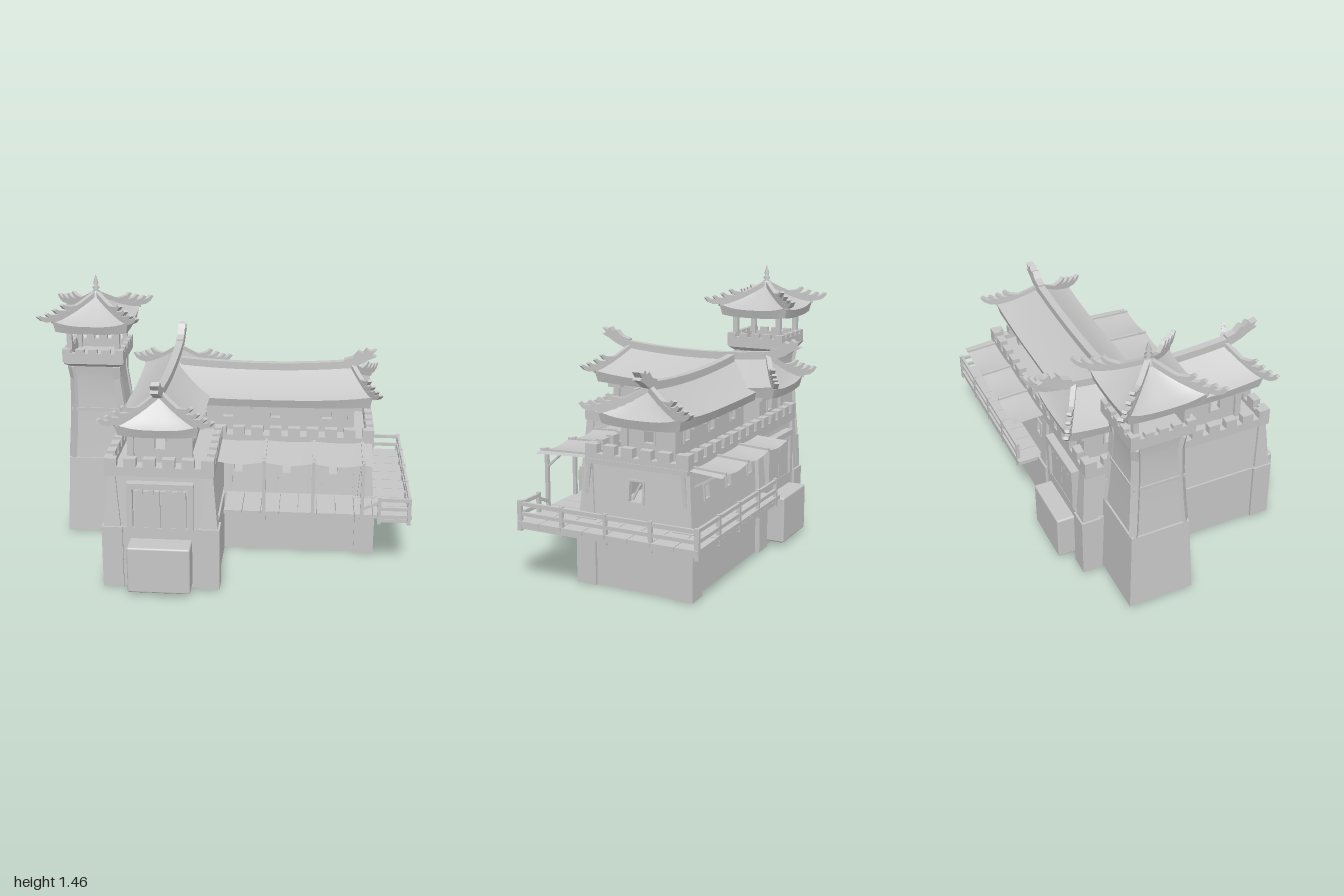
import * as THREE from 'three';
import { toCreasedNormals } from 'three/addons/utils/BufferGeometryUtils.js';
import { RoundedBoxGeometry } from 'three/addons/geometries/RoundedBoxGeometry.js';

const V = (x, y, z) => new THREE.Vector3(x, y, z);
const P2 = list => list.map(q => new THREE.Vector2(q[0], q[1]));
const grey = new THREE.MeshStandardMaterial({ color: 0xc6c6c6, side: THREE.DoubleSide });
grey.name = 'plainGrey';
const put = (p, o, name, x = 0, y = 0, z = 0) => {
  o.name = name;
  o.position.set(x, y, z);
  p.add(o);
  return o;
};
const add = (p, name, geo, x, y, z) => put(p, new THREE.Mesh(geo, grey), name, x, y, z);
const group = (p, name, x, y, z) => put(p, new THREE.Group(), name, x, y, z);
// box given by its limits; the top can be drawn in on all sides
const block = (p, name, x0, x1, y0, y1, z0, z1, inset = 0) => {
  const geo = new THREE.BoxGeometry(x1 - x0, y1 - y0, z1 - z0).toNonIndexed(), a = geo.attributes.position;
  for (let i = 0; i < a.count; i++) if (a.getY(i) > 0) {
    a.setX(i, a.getX(i) - inset * Math.sign(a.getX(i)));
    a.setZ(i, a.getZ(i) - inset * Math.sign(a.getZ(i)));
  }
  geo.computeVertexNormals();
  add(p, name, geo, (x0 + x1) / 2, (y0 + y1) / 2, (z0 + z1) / 2);
};
// square pillar around a centre, and straight bar between two points
const pillar = (p, name, x, z, r, y0, y1, inset) => block(p, name, x - r, x + r, y0, y1, z - r, z + r, inset);
const bar = (p, name, a, b, w, h = w) => {
  const c = a.clone().add(b).multiplyScalar(0.5);
  add(p, name, new THREE.BoxGeometry(w, h, a.distanceTo(b)), c.x, c.y, c.z).lookAt(b.clone().applyMatrix4(p.matrixWorld));
};
const slab = (points, depth) => new THREE.ExtrudeGeometry(new THREE.Shape(P2(points)), { depth, bevelEnabled: false }).translate(0, 0, -depth / 2);
const shell = pos => toCreasedNormals(new THREE.BufferGeometry().setAttribute('position', new THREE.Float32BufferAttribute(pos, 3)), 0.5);
// drops the faces lying on the ground, leaving a hollow base
const openBottom = source => {
  const a = (source.index ? source.toNonIndexed() : source).attributes.position, pos = [];
  for (let i = 0; i < a.count; i += 3) if (Math.max(a.getY(i), a.getY(i + 1), a.getY(i + 2)) > 0.001) pos.push(...a.array.slice(i * 3, i * 3 + 9));
  return shell(pos);
};
// wall with open framed windows [x, y, w, h]; yaw turns it, tilt leans it inward
const panel = (p, name, w, h, holes, x, y, z, yaw, tilt = 0) => {
  const rect = (cx, cy, rw, rh) => P2([[-1, -1], [1, -1], [1, 1], [-1, 1]].map(([i, j]) => [cx + i * rw / 2, cy + j * rh / 2]));
  const s = new THREE.Shape(rect(0, h / 2, w, h));
  for (const q of holes) s.holes.push(new THREE.Path(rect(...q)));
  const m = add(p, name, new THREE.ExtrudeGeometry(s, { depth: 0.02, bevelEnabled: false }).translate(0, 0, -0.02), x, y, z);
  m.rotation.set(-tilt, yaw, 0, 'YXZ');
  for (const [hx, hy, hw, hh] of holes) for (const k of [-1, 1]) {
    add(m, 'windowFrame', new THREE.BoxGeometry(0.01, hh + 0.02, 0.012), hx + k * (hw / 2 + 0.005), hy, 0.002);
    add(m, 'windowFrame', new THREE.BoxGeometry(hw, 0.01, 0.012), hx, hy + k * (hh / 2 + 0.005), 0.002);
  }
};
// low wall with merlons along a closed outline of [x, z]
const parapet = (p, pts, y, lowH, topH, t, pitch) => pts.forEach((a, i) => {
  const b = pts[(i + 1) % pts.length], len = Math.hypot(b[0] - a[0], b[1] - a[1]), n = Math.round(len / pitch);
  const on = (d, h) => V(a[0] + (b[0] - a[0]) * d / len, y + h, a[1] + (b[1] - a[1]) * d / len), w = len / n * 0.62;
  const run = (name, d0, d1, h0, h1) => bar(p, name, on(d0, (h0 + h1) / 2), on(d1, (h0 + h1) / 2), t, h1 - h0);
  run('parapet', -t / 2, len + t / 2, 0, lowH);
  for (let k = 0; k <= n; k++) {
    const d = -t / 2 + (len + t - w) * k / n;
    run('merlon', d, d + w, lowH, lowH + topH);
  }
});
// hipped roof with sagging slopes: L, W half sizes at the eave, R half ridge
const horn = slab([[-0.06, -0.014], [0.03, -0.014], [0.06, 0], [0.08, 0.022], [0.066, 0.03], [0.045, 0.016], [0.02, 0.012], [-0.06, 0.008]], 0.024);
const roof = (p, name, cx, cz, yaw, L, W, R, eave, ridge, sag, hipEnds) => {
  const g = group(p, name, cx, 0, cz), N = 12, T = 8, rim = [], pos = [], rings = [];
  g.rotation.y = yaw;
  g.updateMatrixWorld();
  const lift = (u, v) => 0.03 * Math.abs(u * v) ** 3;
  const at = (u, v, t) => V(u * (R + (L - R) * t),
    eave + (ridge - eave) * Math.pow(Math.max(0, 1 - t), 1.3) + sag * u * u * (1 - t) + lift(u, v) * t, v * W * t);
  for (const [a, b, c, d] of [[-1, -1, 1, -1], [1, -1, 1, 1], [1, 1, -1, 1], [-1, 1, -1, -1]]) {
    for (let i = 0; i < N; i++) rim.push([a + (c - a) * i / N, b + (d - b) * i / N]);
  }
  for (let k = 0; k <= T; k++) rings.push(rim.map(([u, v]) => at(u, v, k / T)));
  // fascia, then the underside
  rings.push(rim.map(([u, v]) => V(u * (L - 0.014), eave - 0.045 + lift(u, v) * 0.4, v * (W - 0.014))));
  rings.push(rim.map(([u, v]) => V(u * L * 0.6, eave - 0.035, v * W * 0.5)), rim.map(() => V(0, eave - 0.035, 0)));
  for (let k = 0; k + 1 < rings.length; k++) for (let i = 0; i < rim.length; i++) {
    const j = (i + 1) % rim.length, [a, b, c, d] = [rings[k][i], rings[k][j], rings[k + 1][j], rings[k + 1][i]];
    for (const q of [a, c, b, a, d, c]) pos.push(q.x, q.y, q.z);
  }
  add(g, 'roofShell', shell(pos));
  // hip ribs with a row of upturned horns
  for (const u of hipEnds) for (const v of [-1, 1]) {
    for (let k = 0; k < 6; k++) bar(g, 'hipRib', at(u, v, k / 6), at(u, v, (k + 1) / 6), 0.026, 0.03);
    for (let k = 0; k < 4; k++) {
      const q = at(u, v, 0.52 + k * 0.17);
      add(g, 'hipHorn', horn, q.x, q.y + 0.012, q.z).rotation.y = Math.atan2(-v * W, u * (L - R));
    }
  }
};
// ridge beam ending in beast-like finials, offsets from the ridge end
const beast = [[0, 0.03], [0.05, 0.045], [0.08, 0.078], [0.105, 0.068], [0.12, 0.092], [0.14, 0.078], [0.175, 0.088], [0.15, 0.06], [0.175, 0.05], [0.13, 0.03], [0.09, 0.005], [0.03, -0.02]];
const ridgeBeam = (p, name, e0, e1, y, sag, bothEnds) => {
  const yAt = s => y + sag * ((2 * s - e0 - e1) / (e1 - e0)) ** 2;
  const line = d => Array.from({ length: 11 }, (_, i) => e0 + (e1 - e0) * i / 10).map(s => [s, yAt(s) + d]);
  const pts = [...line(0.02), ...beast.map(([s, d]) => [e1 + s, yAt(e1) + d]), ...line(-0.02).reverse()];
  if (bothEnds) pts.push(...beast.map(([s, d]) => [e0 - s, yAt(e0) + d]).reverse());
  return add(p, name, slab(pts, 0.04));
};

export function createModel() {
  const root = new THREE.Group();
  root.name = 'courtyardFort';
  // lower storey: hollow T-shaped base, sloping walls, corner buttresses
  const low = group(root, 'lowerStorey');
  const plan = [[-0.575, -0.555], [-0.005, -0.555], [-0.005, -0.07], [0.795, -0.07], [0.795, 0.515], [-0.005, 0.515], [-0.005, 0.525], [-0.575, 0.525]];
  add(low, 'base', openBottom(slab(plan, 0.33).rotateX(-Math.PI / 2).translate(0, 0.165, 0)));
  block(low, 'crossWingWall', -0.565, -0.015, 0.33, 0.62, -0.515, 0.545, 0.025);
  const openings = k => [-0.32, -0.06, 0.19].map(x => [k * x, 0.15, 0.045, 0.065]);
  panel(low, 'eastFrontWall', 0.8, 0.29, openings(1), 0.39, 0.33, 0.062, 0, 0.09);
  panel(low, 'eastBackWall', 0.8, 0.29, openings(-1), 0.39, 0.33, -0.51, Math.PI, 0.09);
  panel(low, 'eastEndWall', 0.55, 0.29, [[0, 0.16, 0.07, 0.1]], 0.79, 0.33, -0.225, Math.PI / 2, 0.09);
  bar(low, 'windowLattice', V(0.775, 0.45, -0.205), V(0.77, 0.53, -0.245), 0.01);
  block(low, 'crossWalkway', -0.57, -0.02, 0.605, 0.63, -0.505, 0.545);
  block(low, 'eastWalkway', -0.02, 0.795, 0.605, 0.63, -0.505, 0.045);
  for (const [x, z] of [[-0.537, 0.517], [-0.043, 0.517], [-0.537, -0.487], [-0.043, -0.487], [0.757, 0.037], [0.757, -0.487]]) {
    add(low, 'cornerPlinth', openBottom(new THREE.BoxGeometry(0.106, 0.335, 0.106).translate(0, 0.1675, 0)), x, 0, z);
    pillar(low, 'cornerButtress', x, z, 0.043, 0.335, 0.61, 0.024);
  }
  for (const x of [0.115, 0.365, 0.61]) {
    for (const s of [-1, 1]) bar(low, 'doorJamb', V(x + s * 0.085, 0.33, 0.06), V(x + s * 0.085, 0.55, 0.042), 0.012);
    block(low, 'doorLintel', x - 0.09, x + 0.09, 0.535, 0.55, 0.035, 0.055);
  }
  parapet(low, [[-0.55, 0.525], [-0.04, 0.525], [-0.04, 0.025], [0.77, 0.025], [0.77, -0.485], [-0.55, -0.485]], 0.615, 0.04, 0.045, 0.042, 0.1);

  // gates with porches at both ends of the cross wing
  for (const [z, s, out] of [[0.545, 1, 0.125], [-0.515, -1, 0.105]]) {
    const gate = group(root, 'gate', -0.29, 0, z);
    gate.scale.z = s;
    for (const k of [-1, 1]) {
      block(gate, 'gatePost', k * 0.155 - 0.015, k * 0.155 + 0.015, 0.33, 0.57, -0.03, 0.02);
      block(gate, 'gateLeaf', k * 0.066 - 0.064, k * 0.066 + 0.064, 0.29, 0.53, -0.03, 0.008);
      for (const x of [0.045, 0.1]) pillar(gate, 'gateStud', k * x, 0.006, 0.012, 0.515, 0.54);
    }
    block(gate, 'gateLintel', -0.17, 0.17, 0.545, 0.575, -0.03, 0.022);
    add(gate, 'porch', new RoundedBoxGeometry(0.32, 0.25, out + 0.02, 2, 0.01), 0, 0.145, out / 2 - 0.01);
  }

  // upper halls and their roofs
  const up = group(root, 'upperHalls'), H = 0.21;
  const wins = (...xs) => xs.map(x => [x, 0.11, 0.052, 0.058]);
  panel(up, 'crossFrontWall', 0.3, H, wins(0), -0.305, 0.625, 0.41, 0);
  panel(up, 'crossBackWall', 0.3, H, wins(0), -0.305, 0.625, -0.45, Math.PI);
  panel(up, 'crossWestWall', 0.86, H, wins(-0.3, -0.1, 0.1, 0.3), -0.455, 0.625, -0.02, -Math.PI / 2);
  panel(up, 'crossEastWall', 0.86, H, wins(-0.3, -0.1), -0.155, 0.625, -0.02, Math.PI / 2);
  panel(up, 'eastHallFront', 0.82, H, wins(-0.26, 0, 0.28), 0.26, 0.625, -0.11, 0);
  panel(up, 'eastHallBack', 0.82, H, wins(0.26, 0, -0.28), 0.26, 0.625, -0.37, Math.PI);
  panel(up, 'eastHallEnd', 0.26, H, wins(0), 0.67, 0.625, -0.24, Math.PI / 2);
  for (const [x, z] of [[-0.455, 0.41], [-0.155, 0.41], [-0.455, -0.45], [-0.155, -0.45], [0.67, -0.11], [0.67, -0.37]]) {
    pillar(up, 'hallColumn', x, z, 0.017, 0.62, 0.83);
    pillar(up, 'columnBracket', x, z, 0.04, 0.785, 0.805);
  }
  for (const x of [-0.01, 0.12, 0.26, 0.4, 0.54]) for (const z of [-0.1, -0.38]) block(up, 'eaveBracket', x - 0.012, x + 0.012, 0.765, 0.79, z - 0.04, z + 0.04);
  for (const z of [0.27, 0.16, 0.06]) block(up, 'eaveBracket', -0.2, -0.1, 0.765, 0.79, z - 0.012, z + 0.012);
  roof(root, 'crossRoof', -0.305, -0.02, Math.PI / 2, 0.545, 0.212, 0.42, 0.845, 0.975, 0.025, [-1, 1]);
  roof(root, 'eastRoof', 0.2, -0.24, 0, 0.58, 0.222, 0.47, 0.835, 0.955, 0.02, [1]);
  const crossRidge = ridgeBeam(root, 'crossRidge', -0.435, 0.435, 0.982, 0.025, true);
  crossRidge.rotation.y = -Math.PI / 2;
  crossRidge.position.set(-0.305, 0, -0.025);
  ridgeBeam(root, 'eastRidge', -0.27, 0.625, 0.96, 0.02, false).position.z = -0.24;

  // watchtower, its shaft wider on the side that leans against the hall
  const tower = group(root, 'watchtower', -0.735, 0, -0.25);
  tower.updateMatrixWorld();
  const lean = (x, y) => x + (x > 0.05 ? 0.03 * Math.min(1, Math.max(0, (0.97 - y) / 0.25)) : 0);
  const profile = [[0.175, 0], [0.157, 0.44], [0.147, 0.44], [0.137, 0.58], [0.128, 0.75], [0.126, 0.9], [0.135, 0.97], [0.162, 0.99], [0.162, 1.005], [0, 1.005]];
  const shaft = new THREE.LatheGeometry(P2(profile.map(([r, y]) => [r * Math.SQRT2, y])), 4, Math.PI / 4), sp = shaft.attributes.position;
  for (let i = 0; i < sp.count; i++) sp.setX(i, lean(sp.getX(i), sp.getY(i)));
  add(tower, 'towerShaft', toCreasedNormals(shaft, 0.5));
  for (const sx of [-1, 1]) for (const sz of [-1, 1]) {
    const edge = profile.slice(2, 7).map(([r, y]) => V(lean(sx * (r - 0.013), y), y, sz * (r - 0.013)));
    for (let i = 0; i < 4; i++) bar(tower, 'cornerStrip', edge[i], edge[i + 1], 0.04);
    pillar(tower, 'lanternColumn', sx * 0.13, sz * 0.13, 0.014, 1, 1.2);
  }
  block(tower, 'towerBand', -0.135, 0.165, 0.71, 0.73, -0.135, 0.135);
  parapet(tower, [[-0.153, 0.153], [0.153, 0.153], [0.153, -0.153], [-0.153, -0.153]], 1.0, 0.05, 0.022, 0.028, 0.075);
  roof(root, 'towerRoof', -0.735, -0.25, 0, 0.205, 0.205, 0, 1.21, 1.35, 0, [-1, 1]);
  add(tower, 'finial', new THREE.LatheGeometry(P2([[0.03, 1.33], [0.022, 1.36], [0.01, 1.365], [0.02, 1.38], [0.008, 1.39], [0.014, 1.405], [0, 1.455]]), 10));

  // timber decks and railings
  const deck = group(root, 'timberDeck');
  for (let i = 0; i < 8; i++) {
    const x = 0.01 + i * 0.0975, z = 0.305 - i * 0.12;
    block(deck, 'frontPlank', x, x + 0.094, 0.312, 0.332, 0.06, 0.31);
    block(deck, 'backPlank', x, x + 0.094, 0.312, 0.332, -0.65, -0.51);
    block(deck, 'sidePlank', 0.79, 0.99, 0.31, 0.33, z - 0.116, z);
  }
  for (const [x0, z0, x1, z1, n] of [[0.975, 0.305, 0.975, -0.645, 4], [0.82, 0.3, 0.975, 0.3, 1], [0.05, -0.64, 0.975, -0.64, 4]]) {
    for (let i = 0; i <= n; i++) pillar(deck, 'railPost', x0 + (x1 - x0) * i / n, z0 + (z1 - z0) * i / n, 0.009, 0.28, 0.43);
    for (const y of [0.3, 0.365, 0.415]) bar(deck, 'rail', V(x0, y, z0), V(x1, y, z1), 0.014, 0.018);
  }
  bar(deck, 'slantRail', V(0.73, 0.36, 0.3), V(0.82, 0.4, 0.3), 0.014);

  // cloth awnings sagging between their beams
  const beams = [0.22, 0.475, 0.73];
  for (const [name, zWall, zEdge, zPost] of [['frontAwning', 0.04, 0.34, 0.305], ['backAwning', -0.5, -0.67, -0.635]]) {
    const aw = group(root, name), geo = new THREE.PlaneGeometry(0.8, 1, 48, 4), a = geo.attributes.position;
    for (let i = 0; i < a.count; i++) {
      const x = a.getX(i) + 0.38, f = a.getY(i) + 0.5;
      a.setXYZ(i, x, 0.63 - 0.01 * f - 0.015 * Math.abs(Math.sin(Math.PI * (x - 0.22) / 0.255)) * (0.4 + 0.6 * f), zWall + (zEdge - zWall) * f);
    }
    geo.computeVertexNormals();
    add(aw, 'awningCloth', geo);
    for (const x of beams) {
      bar(aw, 'awningBeam', V(x, 0.632, zWall), V(x, 0.622, zEdge), 0.014);
      if (zEdge > 0) pillar(aw, 'awningPost', x, zPost, 0.009, 0.28, 0.635);
      bar(aw, 'awningBrace', V(x, 0.535, zEdge > 0 ? zPost : zWall), V(x, 0.615, zEdge > 0 ? 0.22 : zPost), 0.01);
    }
  }
  return root;
}
